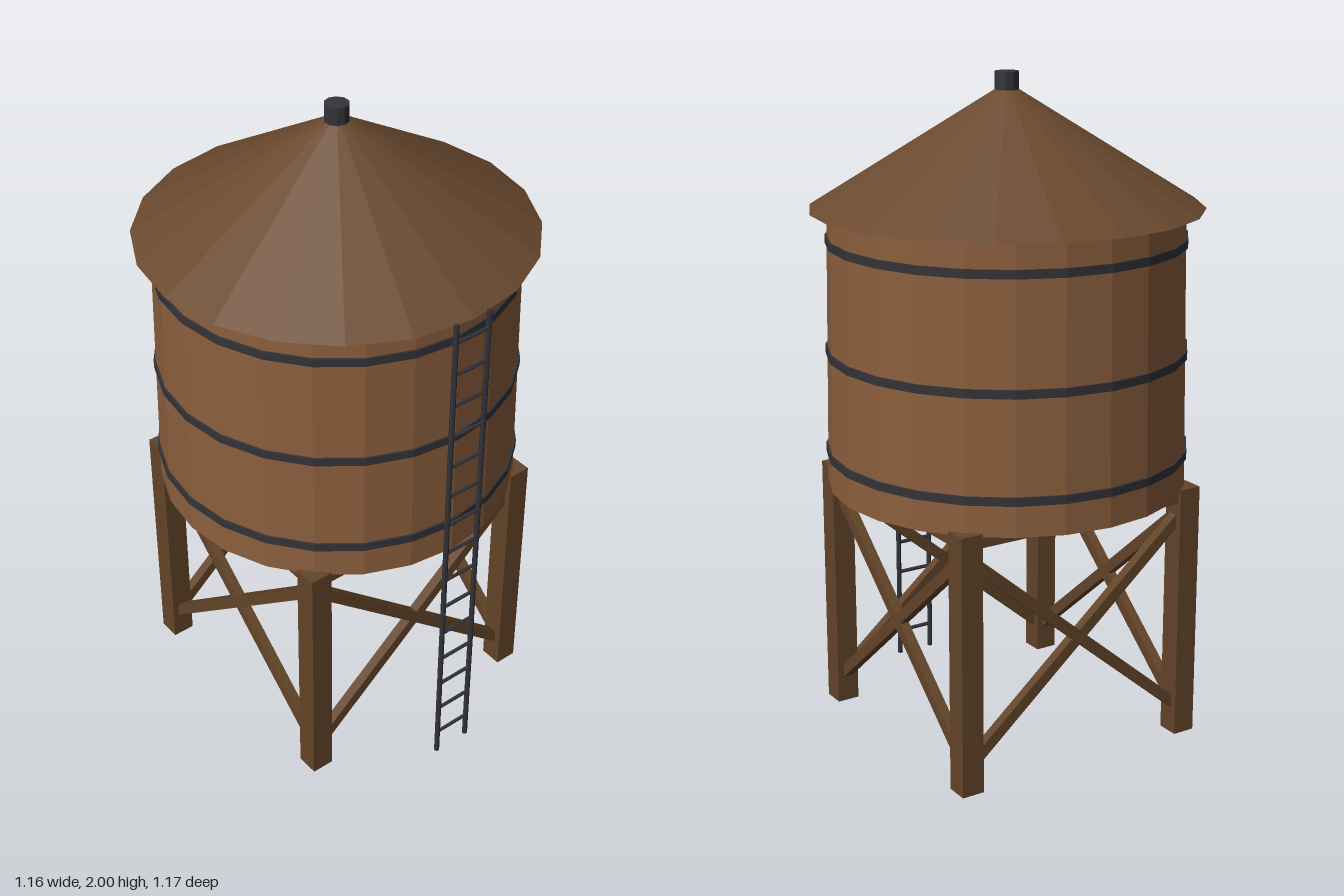
import * as THREE from 'three';

function material(name, color) {
  const m = new THREE.MeshStandardMaterial({ color, flatShading: true });
  m.name = name;
  return m;
}

export function createModel() {
  const tower = new THREE.Group();
  tower.name = 'waterTower';
  const tankWood = material('tank wood', 0x8b5e3c);
  const roofWood = material('roof wood', 0x6b4a2f);
  const frameWood = material('frame wood', 0x634429);
  const metal = material('dark metal', 0x333338);

  function add(name, geometry, mat, x = 0, y = 0, z = 0, parent = tower) {
    const mesh = new THREE.Mesh(geometry, mat);
    mesh.name = name;
    mesh.position.set(x, y, z);
    parent.add(mesh);
    return mesh;
  }

  // Tapered tank
  const base = 0.78, top = 1.61, rBase = 0.54, rTop = 0.525;
  add('tank', new THREE.CylinderGeometry(rTop, rBase, top - base, 24), tankWood, 0, (base + top) / 2, 0);

  // Metal hoops just proud of the tank wall
  for (const y of [0.885, 1.19, 1.52]) {
    const r = THREE.MathUtils.mapLinear(y, base, top, rBase, rTop) + 0.006;
    add('hoop', new THREE.CylinderGeometry(r, r, 0.025, 24), metal, 0, y, 0);
  }

  // Conical roof and vent
  add('roof', new THREE.ConeGeometry(0.58, 0.36, 20), roofWood, 0, top + 0.18, 0);
  add('vent', new THREE.CylinderGeometry(0.036, 0.036, 0.06, 10), metal, 0, 1.97, 0);

  // Four identical sides, each with a leg, a top beam and crossed braces
  const leg = 0.38;
  const rise = 0.6, run = 0.71;
  for (let i = 0; i < 4; i++) {
    const side = new THREE.Group();
    side.name = 'frameSide';
    side.rotation.y = i * Math.PI / 2;
    tower.add(side);
    add('leg', new THREE.BoxGeometry(0.07, 0.79, 0.07), frameWood, leg, 0.395, leg, side);
    add('topBeam', new THREE.BoxGeometry(2 * leg, 0.04, 0.05), frameWood, 0, 0.765, leg, side);
    for (const s of [-1, 1]) {
      const brace = add('brace', new THREE.BoxGeometry(Math.hypot(rise, run), 0.034, 0.03),
        frameWood, 0, 0.395, leg, side);
      brace.rotation.z = s * Math.atan2(rise, run);
    }
  }

  // Ladder at the front
  const ladder = new THREE.Group();
  ladder.name = 'ladder';
  ladder.position.z = 0.578;
  tower.add(ladder);
  for (const s of [-1, 1]) {
    add('ladderRail', new THREE.CylinderGeometry(0.008, 0.008, 1.615, 8), metal, s * 0.058, 0.8075, 0, ladder);
  }
  for (let i = 0; i < 15; i++) {
    const rung = add('rung', new THREE.CylinderGeometry(0.006, 0.006, 0.116, 6), metal, 0, 0.08 + i * 0.1055, 0, ladder);
    rung.rotation.z = Math.PI / 2;
  }

  tower.position.z = -0.003;
  const model = new THREE.Group();
  model.name = 'model';
  model.add(tower);
  return model;
}
